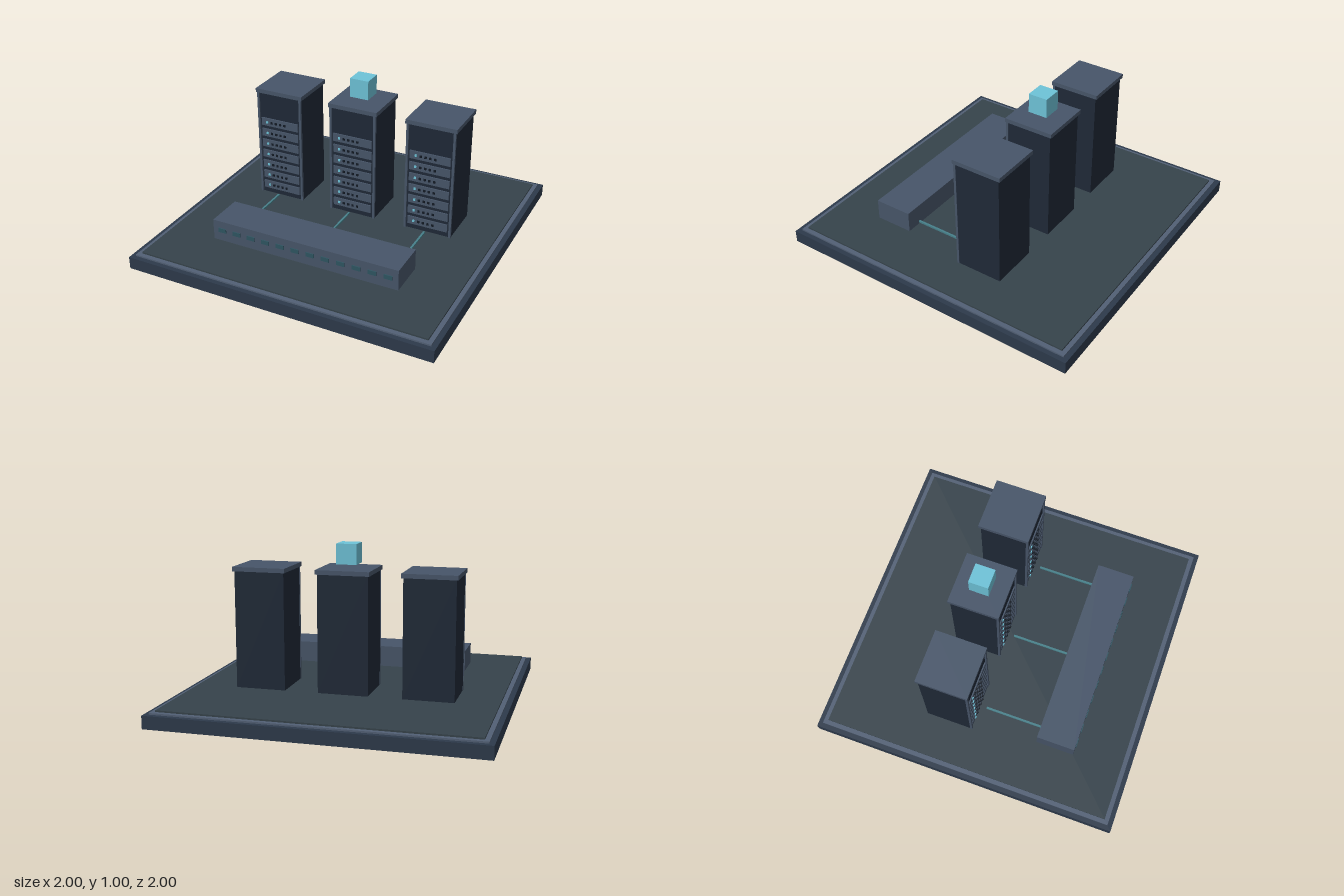
import * as THREE from 'three';

const paint = (color) => new THREE.MeshStandardMaterial({ color });
const navy = paint(0x2d3a4b), slate = paint(0x475569), trim = paint(0x526075);
const floorGrey = paint(0x36434b), dark = paint(0x1f2937), black = paint(0x121a24);
const cyan = paint(0x6ec3d8), teal = paint(0x47808a), portTeal = paint(0x2f5562);

// Box given by its extents on each axis
function box(parent, name, material, [x0, x1], [y0, y1], [z0, z1]) {
  const mesh = new THREE.Mesh(new THREE.BoxGeometry(x1 - x0, y1 - y0, z1 - z0), material);
  mesh.position.set((x0 + x1) / 2, (y0 + y1) / 2, (z0 + z1) / 2);
  mesh.name = name;
  parent.add(mesh);
  return mesh;
}

// One cabinet with cap, front posts and seven server units
function createRack() {
  const rack = new THREE.Group();
  rack.name = 'serverRack';
  box(rack, 'cabinet', dark, [-0.157, 0.157], [0.1, 0.83], [-0.35, -0.05]);
  box(rack, 'cabinetCap', slate, [-0.167, 0.167], [0.828, 0.855], [-0.363, -0.038]);
  for (const s of [-1, 1]) {
    const post = box(rack, 'frontPost', slate, [-0.0075, 0.0075], [0.1, 0.828], [-0.055, -0.04]);
    post.position.x = s * 0.152;
  }
  for (let i = 0; i < 7; i++) {
    const y = 0.626 - i * 0.0775;
    box(rack, 'serverUnit', slate, [-0.134, 0.134], [y - 0.027, y + 0.027], [-0.06, -0.042]);
    // Status light followed by four dark indicators
    for (let j = 0; j < 5; j++) {
      const x = -0.091 + j * 0.032;
      box(rack, j ? 'indicator' : 'statusLight', j ? black : cyan,
        [x - 0.007, x + 0.007], [y - 0.007, y + 0.007], [-0.046, -0.036]);
    }
  }
  return rack;
}

export function createModel() {
  const model = new THREE.Group();
  model.name = 'serverRoom';

  // Stepped platform
  box(model, 'platform', navy, [-1, 1], [0, 0.08], [-1, 1]);
  box(model, 'platformTrim', trim, [-0.97, 0.97], [0.08, 0.09], [-0.97, 0.97]);
  box(model, 'floor', floorGrey, [-0.942, 0.942], [0.09, 0.1], [-0.942, 0.942]);

  // Three racks, each with a cable to the switch
  for (const x of [-0.525, 0, 0.525]) {
    const rack = createRack();
    rack.position.x = x;
    model.add(rack);
    box(model, 'cable', teal, [x - 0.0065, x + 0.0065], [0.119, 0.13], [0, 0.4]);
  }

  // Network switch with a row of ports
  box(model, 'networkSwitch', slate, [-0.625, 0.625], [0.11, 0.245], [0.378, 0.625]);
  for (let i = 0; i < 12; i++) {
    const x = (i - 5.5) * 0.102;
    box(model, 'port', portTeal, [x - 0.027, x + 0.027], [0.17, 0.198], [0.62, 0.631]);
  }

  // Floating cube over the middle rack
  box(model, 'floatingCube', cyan, [-0.0625, 0.0625], [0.88, 1.005], [-0.2625, -0.1375]);
  return model;
}
